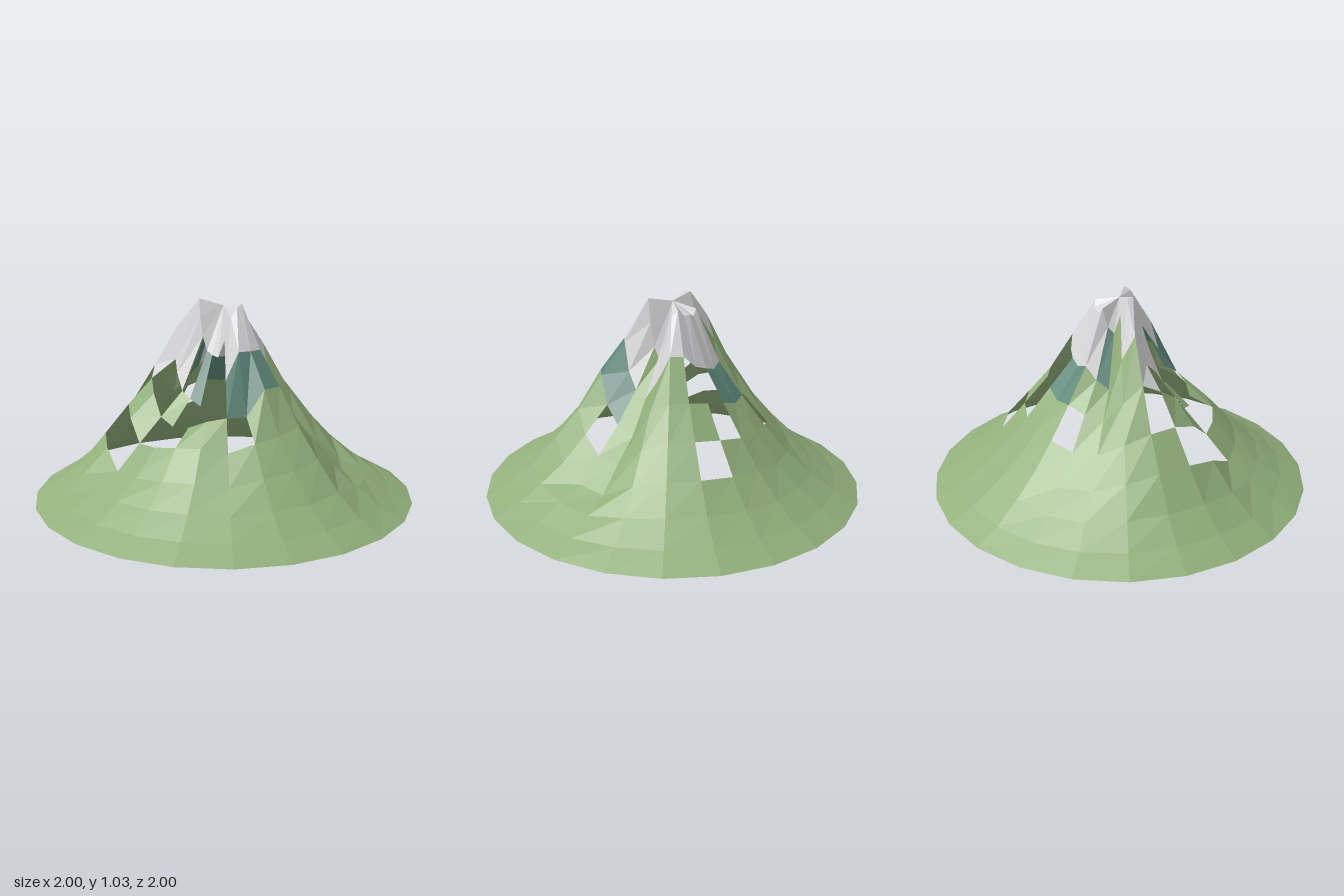
import * as THREE from 'three';

const SIDES = 24, RINGS = 8;

// Heights around the four inner rings, from +x turning towards +z
const INNER = [
  [.78, .9, 1.02, 1, .95, .84, .75, .76, .78, .85, .95, 1.035, 1.03, .95, .85, .88, .97, .94, .95, .95, .98, .95, .85, .72],
  [.58, .66, .8, .8, .8, .66, .58, .52, .55, .58, .66, .72, .88, .76, .6, .64, .7, .68, .7, .72, .78, .78, .65, .55],
  [.42, .5, .63, .63, .5, .5, .48, .44, .43, .46, .56, .62, .67, .58, .48, .5, .53, .52, .55, .57, .58, .58, .52, .38],
  [.29, .36, .45, .42, .4, .36, .38, .37, .35, .34, .44, .48, .47, .42, .36, .35, .38, .38, .4, .42, .43, .42, .38, .28],
];

// Outer rings: base height and how much of the ridge shape remains
const OUTER = [[.25, .8], [.145, .3], [.062, .1], [0, 0]];

// Openings in the slope: ring -> sectors
const HOLES = {
  1: [5, 6, 8],
  2: [5, 6, 7, 9, 10, 18, 19],
  3: [0, 4, 7, 8, 11, 15, 18],
  4: [9, 10, 19],
};
// Patches of rock, and where snow leaves or passes its usual line
const ROCK = { 1: [7, 14], 2: [0, 1, 2, 3, 4, 16, 17] };
const BARE = { 1: [13, 23] };
const EXTRA_SNOW = { 2: [11] };

const has = (map, ring, s) => (map[ring] || []).includes(s);

function point(ring, s) {
  s %= SIDES;
  if (ring === 0) return [0, 1, 0];
  const a = s / SIDES * Math.PI * 2, r = ring / RINGS;
  let y;
  if (ring <= 4) y = INNER[ring - 1][s];
  else {
    const [base, keep] = OUTER[ring - 5];
    y = base + (INNER[3][s] - .385) * keep;
  }
  return [r * Math.cos(a), y, r * Math.sin(a)];
}

function zone(ring, s) {
  if (has(HOLES, ring, s)) return null;
  if (has(ROCK, ring, s)) return 'rockBand';
  if (has(EXTRA_SNOW, ring, s)) return 'snowCap';
  return ring < 2 && !has(BARE, ring, s) ? 'snowCap' : 'grassSlope';
}

export function createModel() {
  const group = new THREE.Group();
  group.name = 'mountain';
  const colors = { grassSlope: 0x92af7b, rockBand: 0x5f877b, snowCap: 0xd6d6d8 };
  const names = { grassSlope: 'grass green', rockBand: 'rock teal', snowCap: 'snow white' };
  const faces = { grassSlope: [], rockBand: [], snowCap: [] };

  // Sort every facet of the polar grid into its part
  for (let ring = 0; ring < RINGS; ring++) {
    for (let s = 0; s < SIDES; s++) {
      const part = zone(ring, s);
      if (!part) continue;
      const a = point(ring, s), b = point(ring, s + 1);
      const c = point(ring + 1, s + 1), d = point(ring + 1, s);
      if (ring > 0) faces[part].push(...a, ...b, ...c);
      faces[part].push(...a, ...c, ...d);
    }
  }

  // One open shell per colour
  for (const part in faces) {
    const geo = new THREE.BufferGeometry();
    geo.setAttribute('position', new THREE.Float32BufferAttribute(faces[part], 3));
    geo.computeVertexNormals();
    const mat = new THREE.MeshStandardMaterial({ color: colors[part], flatShading: true, side: THREE.DoubleSide });
    mat.name = names[part];
    const mesh = new THREE.Mesh(geo, mat);
    mesh.name = part;
    group.add(mesh);
  }
  return group;
}
